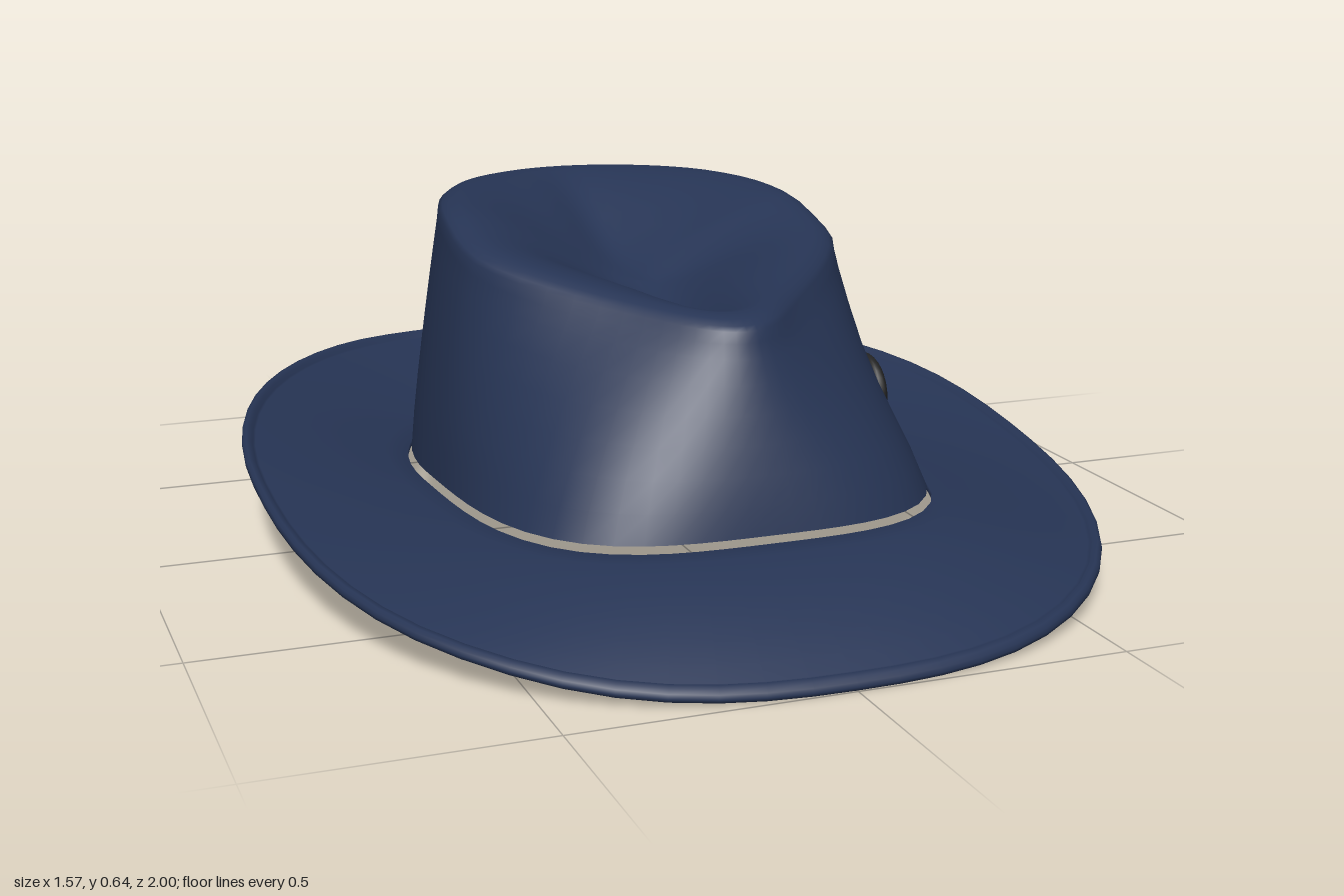
import * as THREE from 'three';

const SEG = 64;
const lerp = THREE.MathUtils.lerp;
const smooth = THREE.MathUtils.smoothstep;

// smooth height along z from a few [z, y] stations (z ascending)
function heightCurve(stations) {
  return (z) => {
    let i = 0;
    while (i < stations.length - 2 && z > stations[i + 1][0]) i++;
    const slope = (k) => {
      const p = stations[Math.max(k - 1, 0)], q = stations[Math.min(k + 1, stations.length - 1)];
      return (q[1] - p[1]) / (q[0] - p[0]);
    };
    const [z0, y0] = stations[i], [z1, y1] = stations[i + 1];
    const h = z1 - z0, t = THREE.MathUtils.clamp((z - z0) / h, 0, 1);
    const a = t * t * (3 - 2 * t);
    return y0 * (1 - a) + y1 * a + h * t * (1 - t) * ((1 - t) * slope(i) - t * slope(i + 1));
  };
}

const innerY = heightCurve([[-0.66, 0.075], [-0.2, 0.1], [0.2, 0.122], [0.66, 0.135]]);
const outerY = heightCurve([[-1, 0.168], [-0.85, 0.183], [-0.6, 0.183], [-0.3, 0.168], [0, 0.137],
  [0.2, 0.113], [0.4, 0.09], [0.6, 0.066], [0.8, 0.04], [1, 0]]);
const rimY = heightCurve([[-0.57, 0.635], [-0.3, 0.64], [-0.1, 0.625], [0, 0.6], [0.3, 0.537], [0.53, 0.515]]);

// oval that is round at the back and squarer at the front
function oval(a, rx, rz, frontPower) {
  const s = Math.sin(a), c = Math.cos(a), n = c > 0 ? frontPower : 2;
  const k = Math.pow(Math.abs(s) ** n + Math.abs(c) ** n, -1 / n);
  return [rx * s * k, rz * c * k];
}

// teardrop outline of the crown's top
function teardrop(a, scale) {
  const z = -0.02 + 0.55 * Math.cos(a);
  const x = 0.38 * Math.sin(a) * (1 - 0.45 * smooth(z, 0.05, 0.5));
  return [x * scale, -0.02 + (z + 0.02) * scale];
}

// skin closed rings; point(row, angle) returns [x, y, z]
function loft(rows, point) {
  const pos = [], index = [];
  rows.forEach((row, j) => {
    for (let i = 0; i < SEG; i++) {
      pos.push(...point(row, (i / SEG) * Math.PI * 2));
      if (j === rows.length - 1) continue;
      const a = j * SEG + i, b = j * SEG + ((i + 1) % SEG);
      index.push(a, b, b + SEG, a, b + SEG, a + SEG);
    }
  });
  const g = new THREE.BufferGeometry();
  g.setAttribute('position', new THREE.Float32BufferAttribute(pos, 3));
  g.setIndex(index);
  g.computeVertexNormals();
  return g;
}

// crown wall: t = 0 at the base, 1 under the rim
function wallPoint(t, a) {
  const [bx, bz] = oval(a, 0.447, 0.652, 3.3);
  const [tx, tz] = teardrop(a, 1);
  const k = Math.pow(t, 1.2);
  return [lerp(bx, tx, k), lerp(innerY(bz) + 0.024, rimY(tz) - 0.027, t), lerp(bz, tz, k)];
}

// crown top: s = 1 at the rim, 0 at the bottom of the dent
function topPoint(s, a) {
  const [x, z] = teardrop(a, s);
  let y = rimY(z);
  if (s > 0.9) y -= 0.02 * ((s - 0.9) / 0.1) ** 2;
  else {
    y -= 0.125 * smooth(0.9 - s, 0, 0.9);
    y -= 0.03 * Math.exp(-((x / 0.07) ** 2)) * Math.sin((Math.PI * s) / 0.9);
  }
  return [x, y, z];
}

// brim: u runs from the head opening to the outer edge
function brimPoint([u, dy], a) {
  const [ix, iz] = oval(a, 0.455, 0.66, 3.3);
  const [ox, oz] = oval(a, 0.785, 1, 2.5);
  const droop = 1 + 0.6 * Math.max(0, Math.cos(a));
  const y = lerp(innerY(iz), outerY(oz), Math.pow(u, droop));
  return [lerp(ix, ox, u), y + dy, lerp(iz, oz, u)];
}

export function createModel() {
  const felt = new THREE.MeshStandardMaterial({ color: 0x263454, side: THREE.DoubleSide });
  felt.name = 'navy felt';
  const dark = new THREE.MeshStandardMaterial({ color: 0x222222 });
  dark.name = 'black button';

  const hat = new THREE.Group();
  hat.name = 'hat';
  const add = (name, geometry, material) => {
    const mesh = new THREE.Mesh(geometry, material);
    mesh.name = name;
    hat.add(mesh);
    return mesh;
  };

  // pinched crown, one open shell
  const walls = [0, 0.15, 0.3, 0.45, 0.6, 0.75, 0.88, 0.96].map((t) => ['wall', t]);
  const tops = [1, 0.98, 0.95, 0.9, 0.84, 0.77, 0.69, 0.6, 0.5, 0.4, 0.3, 0.2, 0.1, 0.001].map((s) => ['top', s]);
  add('crown', loft([...walls, ...tops], ([kind, v], a) => (kind === 'wall' ? wallPoint(v, a) : topPoint(v, a))), felt);

  // brim: underside, rounded lip, upper side, inner edge
  const steps = [0, 0.12, 0.25, 0.4, 0.55, 0.7, 0.82, 0.92];
  const under = steps.map((u) => [u, 0]);
  const lip = [[0.98, 0], [0.997, 0.005], [1, 0.011], [0.995, 0.018], [0.975, 0.021], [0.945, 0.019], [0.935, 0.012]];
  const upper = steps.map((u) => [u, 0.012]).reverse();
  add('brim', loft([...under, ...lip, ...upper, [0, 0]], brimPoint), felt);

  // flattened round button on the left side
  const button = add('sideButton', new THREE.SphereGeometry(1, 24, 16), dark);
  button.scale.set(0.028, 0.079, 0.085);
  button.position.set(0.463, 0.232, 0.062);

  return hat;
}
